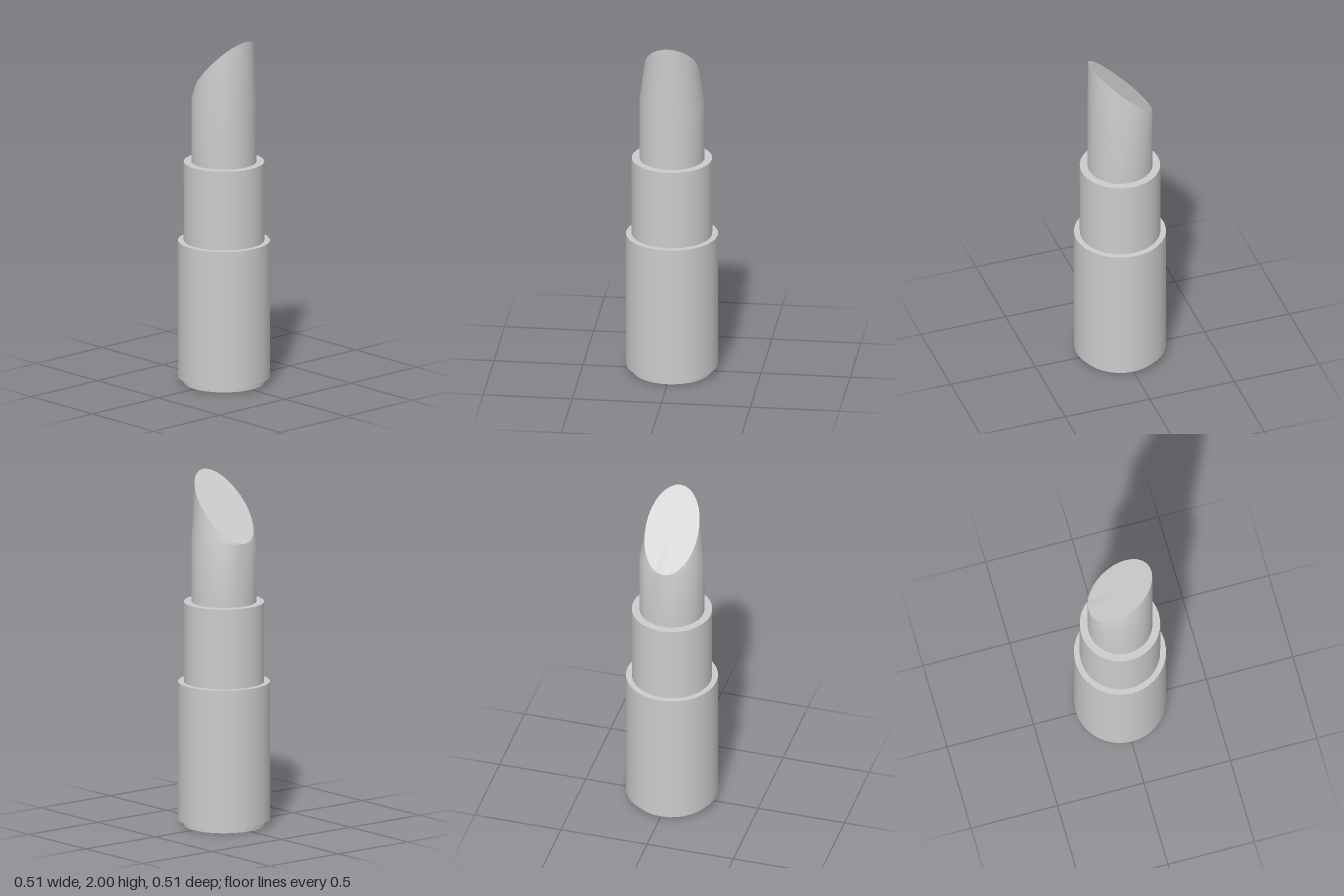
import * as THREE from 'three';
import { toCreasedNormals } from 'three/addons/utils/BufferGeometryUtils.js';

const SIDES = 32;

export function createModel() {
  const group = new THREE.Group();
  const material = new THREE.MeshStandardMaterial({ color: 0xcccccc });

  function add(name, geometry) {
    const mesh = new THREE.Mesh(geometry, material);
    mesh.name = name;
    group.add(mesh);
  }

  // Stacked round casing: name, radius, bottom, top
  const casing = [
    ['foot', 0.225, 0, 0.035],
    ['outerCase', 0.257, 0.035, 0.82],
    ['innerSleeve', 0.225, 0.82, 1.275],
  ];
  for (const [name, radius, bottom, top] of casing) {
    const geometry = new THREE.CylinderGeometry(radius, radius, top - bottom, SIDES);
    add(name, geometry.translate(0, (bottom + top) / 2, 0));
  }

  // Colour stick: straight shaft, then walls narrowing in x up to a slanted oval cut
  const radius = 0.182, bottom = 1.275, shoulder = 1.632, tip = 2;
  const stick = new THREE.CylinderGeometry(radius, radius, 2, SIDES, 2);
  const p = stick.attributes.position;
  for (let i = 0; i < p.count; i++) {
    const level = Math.round(p.getY(i));
    if (level < 0) p.setY(i, bottom);
    else if (level === 0) p.setY(i, shoulder);
    else {
      p.setX(i, p.getX(i) * 0.835);
      p.setY(i, shoulder + (tip - shoulder) * (p.getZ(i) / radius + 1) / 2);
    }
  }
  add('colourStick', toCreasedNormals(stick, 0.42));

  return group;
}
